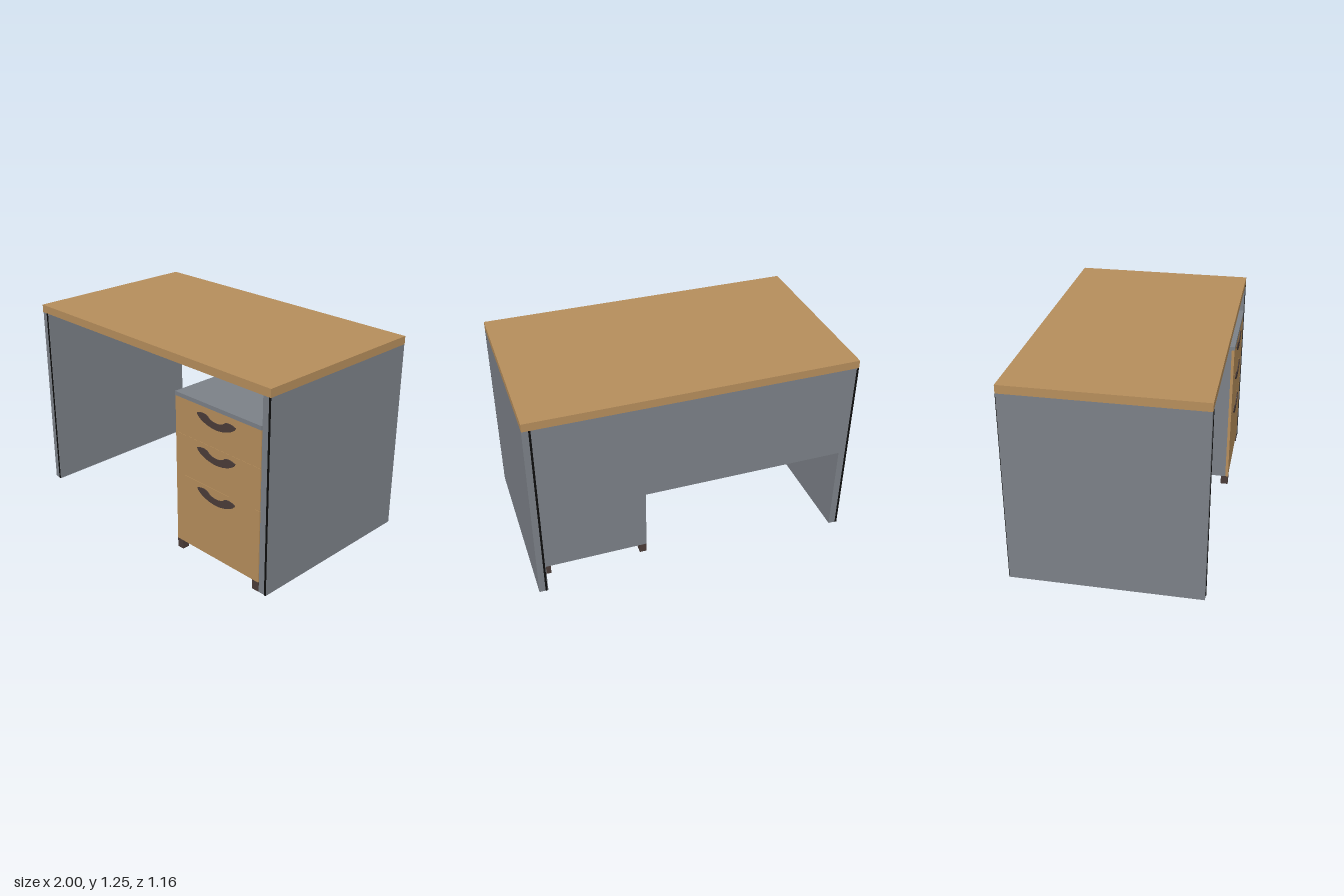
import * as THREE from 'three';

const mat = (name, color) => {
  const m = new THREE.MeshStandardMaterial({ color });
  m.name = name;
  return m;
};

export function createModel() {
  const wood = mat('wood', 0xb58d5b);
  const grey = mat('grey panel', 0x7b8087);
  const brown = mat('dark brown', 0x4a3c38);
  const black = mat('black edging', 0x0c0c0c);
  const desk = new THREE.Group();
  desk.name = 'desk';

  // Box given by its limits on each axis
  const box = (name, material, [x0, x1], [y0, y1], [z0, z1], parent = desk) => {
    const mesh = new THREE.Mesh(new THREE.BoxGeometry(x1 - x0, y1 - y0, z1 - z0), material);
    mesh.position.set((x0 + x1) / 2, (y0 + y1) / 2, (z0 + z1) / 2);
    mesh.name = name;
    parent.add(mesh);
    return mesh;
  };

  // Top, side panels and modesty panel
  box('desktop', wood, [-1, 1], [1.2, 1.25], [-0.58, 0.58]);
  box('rightSidePanel', grey, [-1, -0.945], [0, 1.2], [-0.577, 0.577]);
  box('leftSidePanel', grey, [0.945, 1], [0, 1.2], [-0.577, 0.577]);
  box('modestyPanel', grey, [-0.945, 0.945], [0.585, 1.2], [-0.577, -0.53]);

  // Thin edging on the front and back of the side panels
  for (const s of [1, -1]) {
    const z = s > 0 ? [0.577, 0.58] : [-0.58, -0.577];
    for (const x of [-0.956, 0.994]) {
      box('panelEdging', black, [s * x - 0.006, s * x + 0.006], [0, 1.2], z);
    }
  }

  // Drawer pedestal
  const pedestal = new THREE.Group();
  pedestal.name = 'pedestal';
  desk.add(pedestal);
  box('pedestalBody', grey, [0.275, 0.94], [0.06, 1.0], [-0.44, 0.56], pedestal);
  box('pedestalTop', grey, [0.275, 0.94], [1.0, 1.025], [-0.44, 0.58], pedestal);

  // Crescent drawer pull, origin at the top middle
  const pull = new THREE.Shape();
  pull.moveTo(-0.15, -0.012);
  pull.quadraticCurveTo(-0.1, 0.008, -0.065, -0.01);
  pull.bezierCurveTo(-0.04, -0.04, 0.04, -0.04, 0.065, -0.01);
  pull.quadraticCurveTo(0.1, 0.008, 0.15, -0.012);
  pull.bezierCurveTo(0.145, -0.04, 0.07, -0.072, 0, -0.072);
  pull.bezierCurveTo(-0.07, -0.072, -0.145, -0.04, -0.15, -0.012);
  const pullGeometry = new THREE.ExtrudeGeometry(pull, { depth: 0.005, bevelEnabled: false, curveSegments: 8 });

  // Drawer fronts: bottom, top and pull height
  for (const [y0, y1, pullY] of [[0.775, 1.0, 0.962], [0.515, 0.774, 0.746], [0.06, 0.514, 0.489]]) {
    box('drawerFront', wood, [0.275, 0.94], [y0, y1], [0.56, 0.578], pedestal);
    const handle = new THREE.Mesh(pullGeometry, brown);
    handle.position.set(0.605, pullY, 0.578);
    handle.name = 'drawerPull';
    pedestal.add(handle);
  }

  // Square feet
  for (const x of [0.275, 0.895]) {
    for (const z of [-0.44, 0.53]) {
      box('pedestalFoot', brown, [x, x + 0.045], [0, 0.06], [z, z + 0.048], pedestal);
    }
  }
  return desk;
}
